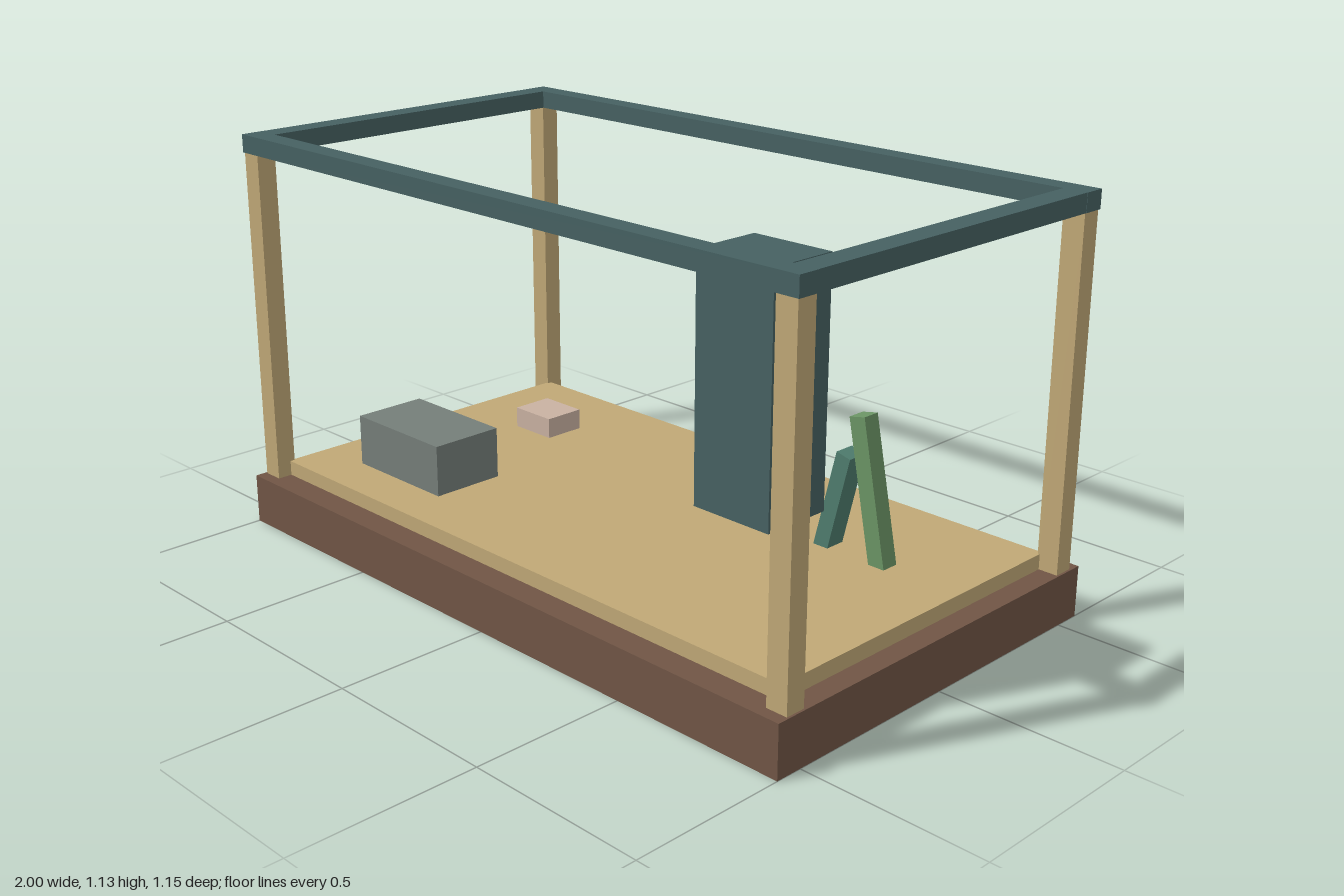
import * as THREE from 'three';

const mat = (name, color) => {
  const m = new THREE.MeshStandardMaterial({ color });
  m.name = name;
  return m;
};

export function createModel() {
  const brown = mat('brown wood', 0x705545);
  const sand = mat('sand', 0xc0a876);
  const teal = mat('dark teal', 0x466162);
  const grey = mat('stone grey', 0x757e79);
  const pale = mat('pale pink', 0xc9b1a2);
  const green = mat('leaf green', 0x6b9465);
  const seaGreen = mat('sea green', 0x4f7d6e);

  const model = new THREE.Group();
  model.name = 'terrarium';

  // Box given by its extents on each axis
  const box = (name, material, [x0, x1], [y0, y1], [z0, z1]) => {
    const mesh = new THREE.Mesh(new THREE.BoxGeometry(x1 - x0, y1 - y0, z1 - z0), material);
    mesh.position.set((x0 + x1) / 2, (y0 + y1) / 2, (z0 + z1) / 2);
    mesh.name = name;
    model.add(mesh);
    return mesh;
  };

  // Base tray and raised floor
  box('base', brown, [-1, 1], [0, 0.14], [-0.575, 0.575]);
  box('floor', sand, [-0.94, 0.94], [0.14, 0.182], [-0.5, 0.5]);

  // Corner posts
  for (const sx of [-1, 1]) {
    for (const sz of [-1, 1]) {
      const post = box('cornerPost', sand, [-0.03, 0.03], [0.14, 1.077], [-0.028, 0.028]);
      post.position.x = sx * 0.964;
      post.position.z = sz * 0.514;
    }
  }

  // Top frame: long beams run full length, side beams fit between them
  for (const s of [-1, 1]) {
    box('longBeam', teal, [-0.998, 0.998], [1.077, 1.127], [-0.03, 0.03]).position.z = s * 0.515;
    box('sideBeam', teal, [-0.033, 0.033], [1.077, 1.127], [-0.485, 0.485]).position.x = s * 0.964;
  }

  // Hanging block
  box('hangingBlock', teal, [0.637, 0.861], [0.502, 1.1], [0.28, 0.465]);

  // Blocks on the floor
  box('stoneBlock', grey, [-0.776, -0.428], [0.18, 0.326], [0.151, 0.363]);
  box('smallBlock', pale, [-0.7, -0.555], [0.18, 0.241], [-0.277, -0.155]);

  // Leaning slats, from a foot point to a top point
  const slat = (name, material, foot, top, width, z) => {
    const a = new THREE.Vector2(...foot), b = new THREE.Vector2(...top);
    const h = a.distanceTo(b) / 2;
    const mesh = box(name, material, [-width / 2, width / 2], [-h, h], z);
    mesh.position.x = (a.x + b.x) / 2;
    mesh.position.y = (a.y + b.y) / 2;
    mesh.rotation.z = Math.atan2(a.x - b.x, b.y - a.y);
  };
  slat('shortSlat', seaGreen, [0.515, 0.172], [0.582, 0.447], 0.045, [-0.188, -0.128]);
  slat('tallSlat', green, [0.702, 0.175], [0.623, 0.561], 0.048, [-0.176, -0.125]);

  return model;
}
